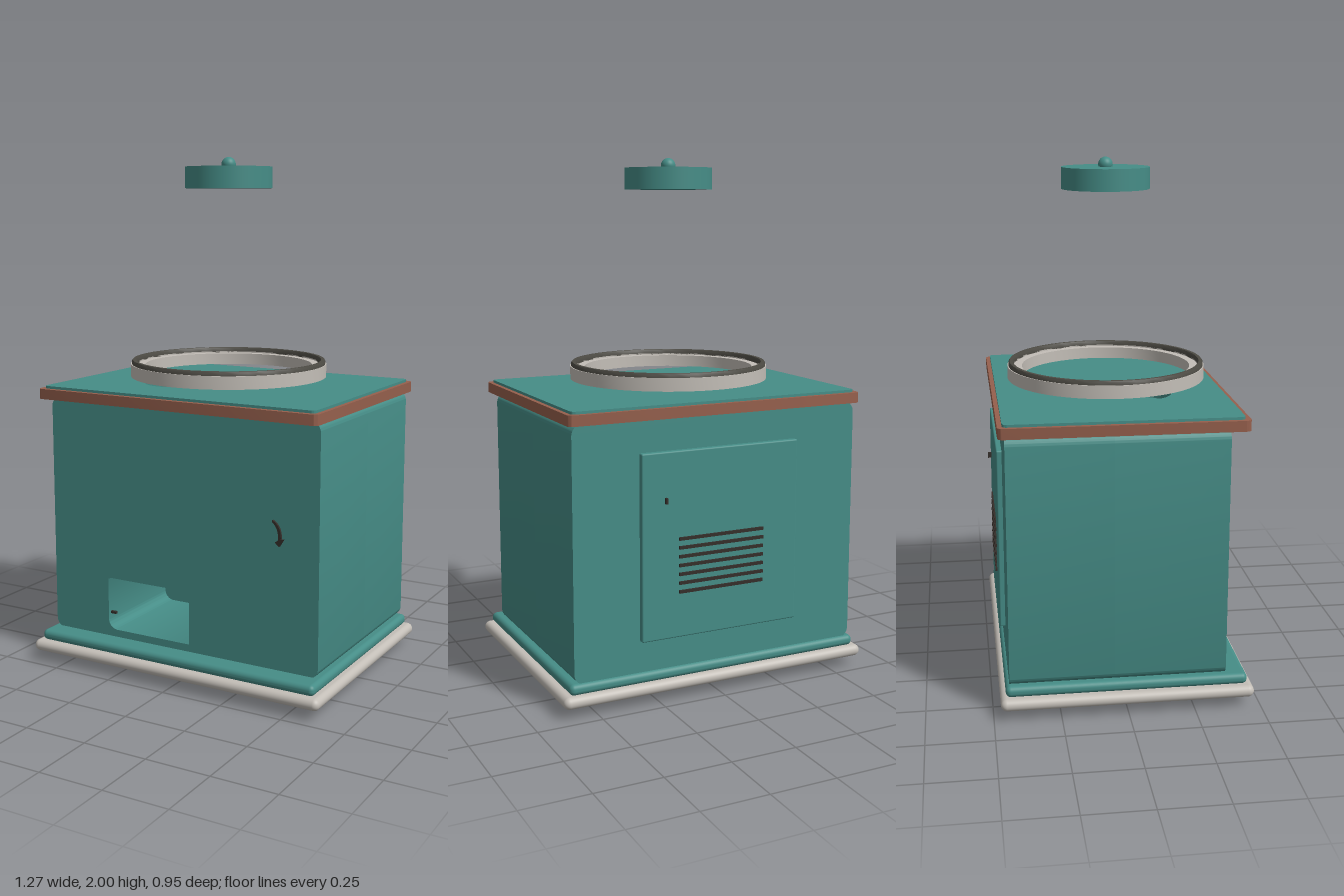
import * as THREE from 'three';
import { toCreasedNormals } from 'three/addons/utils/BufferGeometryUtils.js';
import { RoundedBoxGeometry } from 'three/addons/geometries/RoundedBoxGeometry.js';

const mat = (name, color) => Object.assign(new THREE.MeshStandardMaterial({ color }), { name });

// Rectangle outline with radii in the order bottom-left, bottom-right, top-right, top-left
function roundRect(Type, x0, y0, x1, y1, [a, b, c, d]) {
  const s = new Type();
  s.moveTo(x0 + a, y0);
  s.lineTo(x1 - b, y0);
  if (b) s.absarc(x1 - b, y0 + b, b, -Math.PI / 2, 0);
  s.lineTo(x1, y1 - c);
  if (c) s.absarc(x1 - c, y1 - c, c, 0, Math.PI / 2);
  s.lineTo(x0 + d, y1);
  if (d) s.absarc(x0 + d, y1 - d, d, Math.PI / 2, Math.PI);
  s.lineTo(x0, y0 + a);
  if (a) s.absarc(x0 + a, y0 + a, a, Math.PI, Math.PI * 1.5);
  return s;
}

const same = (r) => [r, r, r, r];

function extrude(shape, depth) {
  const g = new THREE.ExtrudeGeometry(shape, { depth, bevelEnabled: false, curveSegments: 16 });
  return toCreasedNormals(g, 0.6);
}

function lathe(points) {
  const pts = points.map(([x, y]) => new THREE.Vector2(x, y));
  return toCreasedNormals(new THREE.LatheGeometry(pts, 72), 0.6);
}

export function createModel() {
  const teal = mat('teal paint', 0x468d87);
  const grey = mat('warm grey', 0xc3beb7);
  const brown = mat('brown trim', 0x96604d);
  const dark = mat('dark rubber', 0x4d4b44);
  const black = mat('dark slots', 0x352e2a);

  const model = new THREE.Group();
  const add = (name, geometry, material, x = 0, y = 0, z = 0) => {
    const m = new THREE.Mesh(geometry, material);
    m.name = name;
    m.position.set(x, y, z);
    model.add(m);
    return m;
  };

  // Feet and rounded base mouldings
  for (const x of [-0.34, 0.34]) {
    for (const z of [-0.26, 0.25]) {
      add('foot', new THREE.CylinderGeometry(0.042, 0.042, 0.05, 32), dark, x, 0.025, z);
    }
  }
  add('baseSlab', new RoundedBoxGeometry(1.266, 0.046, 0.948, 5, 0.0229), grey, 0, 0.063, 0);
  add('baseMoulding', new RoundedBoxGeometry(1.21, 0.042, 0.905, 5, 0.019), teal, 0, 0.105, -0.002);

  // Cabinet: the front half is pierced by the dispensing opening, the back half closes it
  const outline = () => roundRect(THREE.Shape, -0.587, 0.12, 0.585, 1.073, same(0.04));
  const pierced = outline();
  pierced.holes.push(roundRect(THREE.Path, -0.332, 0.155, 0.04, 0.365, [0.04, 0.004, 0.035, 0.01]));
  add('cabinetFront', extrude(pierced, 0.42), teal, 0, 0, -0.05);
  add('cabinetBack', extrude(outline(), 0.39), teal, 0, 0, -0.44);
  add('openingPeg', new THREE.BoxGeometry(0.025, 0.009, 0.012), black, -0.317, 0.22, 0.355);

  // Curved arrow plate on the front
  const arrow = new THREE.Shape();
  arrow.moveTo(0.40, 0.697);
  arrow.quadraticCurveTo(0.437, 0.68, 0.435, 0.628);
  arrow.lineTo(0.447, 0.63);
  arrow.lineTo(0.428, 0.6);
  arrow.lineTo(0.41, 0.615);
  arrow.lineTo(0.424, 0.624);
  arrow.quadraticCurveTo(0.426, 0.67, 0.40, 0.688);
  add('turnArrow', extrude(arrow, 0.009), black, 0, 0, 0.37);

  // Top plate with a round well, framed by a trim
  const plate = roundRect(THREE.Shape, -0.586, -0.421, 0.586, 0.447, same(0.018));
  plate.holes.push(new THREE.Path().absarc(-0.18, -0.10, 0.121, 0, Math.PI * 2, true));
  add('topPlate', extrude(plate, 0.05), teal, 0, 1.07, 0).rotation.x = -Math.PI / 2;
  const frame = roundRect(THREE.Shape, -0.603, -0.441, 0.603, 0.464, same(0.022));
  frame.holes.push(roundRect(THREE.Path, -0.586, -0.421, 0.586, 0.447, same(0.018)));
  add('topTrim', extrude(frame, 0.04), brown, 0, 1.07, 0).rotation.x = -Math.PI / 2;

  // Hovering collar with a dark seal on its rim
  add('collar', lathe([
    [0.33, 1.15], [0.387, 1.15], [0.387, 1.2], [0.362, 1.2], [0.362, 1.195],
    [0.33, 1.195], [0.33, 1.15],
  ]), grey, 0, 0, -0.01);
  add('collarSeal', lathe([
    [0.362, 1.195], [0.383, 1.195], [0.383, 1.21], [0.379, 1.216], [0.366, 1.216],
    [0.362, 1.21], [0.362, 1.195],
  ]), dark, 0, 0, -0.01);

  // Lid floating above
  add('lid', new THREE.CylinderGeometry(0.169, 0.169, 0.082, 72), teal, 0, 1.922, -0.01);
  add('lidKnob', new THREE.SphereGeometry(0.028, 32, 20), teal, 0, 1.972, -0.01);

  // Service door on the back with louvres and a lock
  add('serviceDoor', new RoundedBoxGeometry(0.65, 0.705, 0.03, 3, 0.006), teal, 0, 0.597, -0.446);
  for (let i = 0; i < 7; i++) {
    add('louvre', new THREE.BoxGeometry(0.352, 0.012, 0.009), black, 0, 0.42 + i * 0.0335, -0.463);
  }
  add('doorLock', new THREE.BoxGeometry(0.008, 0.022, 0.016), black, 0.23, 0.77, -0.467);

  return model;
}
